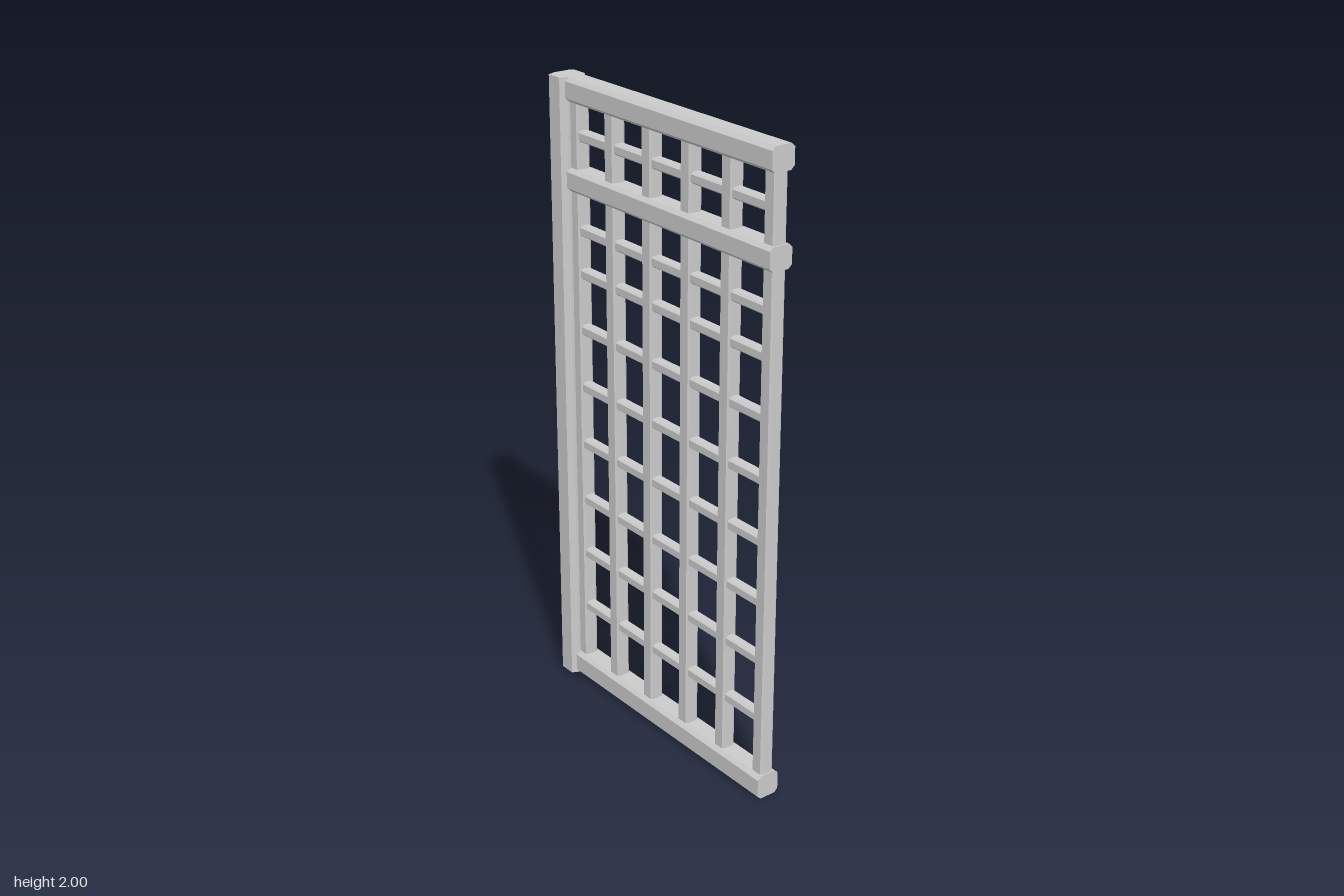
import * as THREE from 'three';

const material = new THREE.MeshStandardMaterial({ color: 0xcccccc, flatShading: true });

// Eight-sided outline: a rectangle with cut corners (cu across, cv up)
function chamfered(u0, u1, v0, v1, cu, cv) {
  return [
    [u0 + cu, v0], [u1 - cu, v0], [u1, v0 + cv], [u1, v1 - cv],
    [u1 - cu, v1], [u0 + cu, v1], [u0, v1 - cv], [u0, v0 + cv],
  ];
}

function extrude(points, depth) {
  const shape = new THREE.Shape(points.map(([u, v]) => new THREE.Vector2(u, v)));
  return new THREE.ExtrudeGeometry(shape, { depth, bevelEnabled: false });
}

// Bar along z, outline given in (x, y)
function barAlongZ(name, points, z0, z1) {
  const mesh = new THREE.Mesh(extrude(points, z1 - z0).translate(0, 0, z0), material);
  mesh.name = name;
  return mesh;
}

// Bar along y, outline given in (x, z)
function barAlongY(name, points, y0, y1) {
  const geometry = extrude(points.map(([x, z]) => [x, -z]), y1 - y0);
  const mesh = new THREE.Mesh(geometry.rotateX(-Math.PI / 2).translate(0, y0, 0), material);
  mesh.name = name;
  return mesh;
}

export function createModel() {
  const panel = new THREE.Group();
  panel.name = 'latticePanel';

  // Post at the back edge
  panel.add(barAlongY('post', [
    [-0.02, -0.5], [0.035, -0.5], [0.045, -0.49], [0.045, -0.436],
    [0.034, -0.427], [-0.026, -0.427], [-0.047, -0.437], [-0.047, -0.49],
  ], 0, 2));

  // Heavy rails
  const rails = [['bottomRail', 0, 0.078], ['middleRail', 1.656, 1.727], ['topRail', 1.927, 2]];
  for (const [name, y0, y1] of rails) {
    panel.add(barAlongZ(name, chamfered(-0.032, 0.045, y0, y1, 0.012, 0.011), -0.435, 0.5));
  }

  // Upright bars between bottom and top rail
  const uprights = new THREE.Group();
  uprights.name = 'uprights';
  for (const z of [0.474, 0.295, 0.116, -0.062, -0.24, -0.415]) {
    const outline = chamfered(-0.017, 0.029, z - 0.022, z + 0.022, 0.006, 0.005);
    uprights.add(barAlongY('upright', outline, 0.05, 1.95));
  }
  panel.add(uprights);

  // Thin crossbars
  const crossbars = new THREE.Group();
  crossbars.name = 'crossbars';
  for (const y of [0.259, 0.452, 0.643, 0.837, 1.03, 1.22, 1.401, 1.537, 1.828]) {
    const outline = chamfered(-0.012, 0.024, y - 0.017, y + 0.017, 0.007, 0.006);
    crossbars.add(barAlongZ('crossbar', outline, -0.415, 0.474));
  }
  panel.add(crossbars);

  return panel;
}
